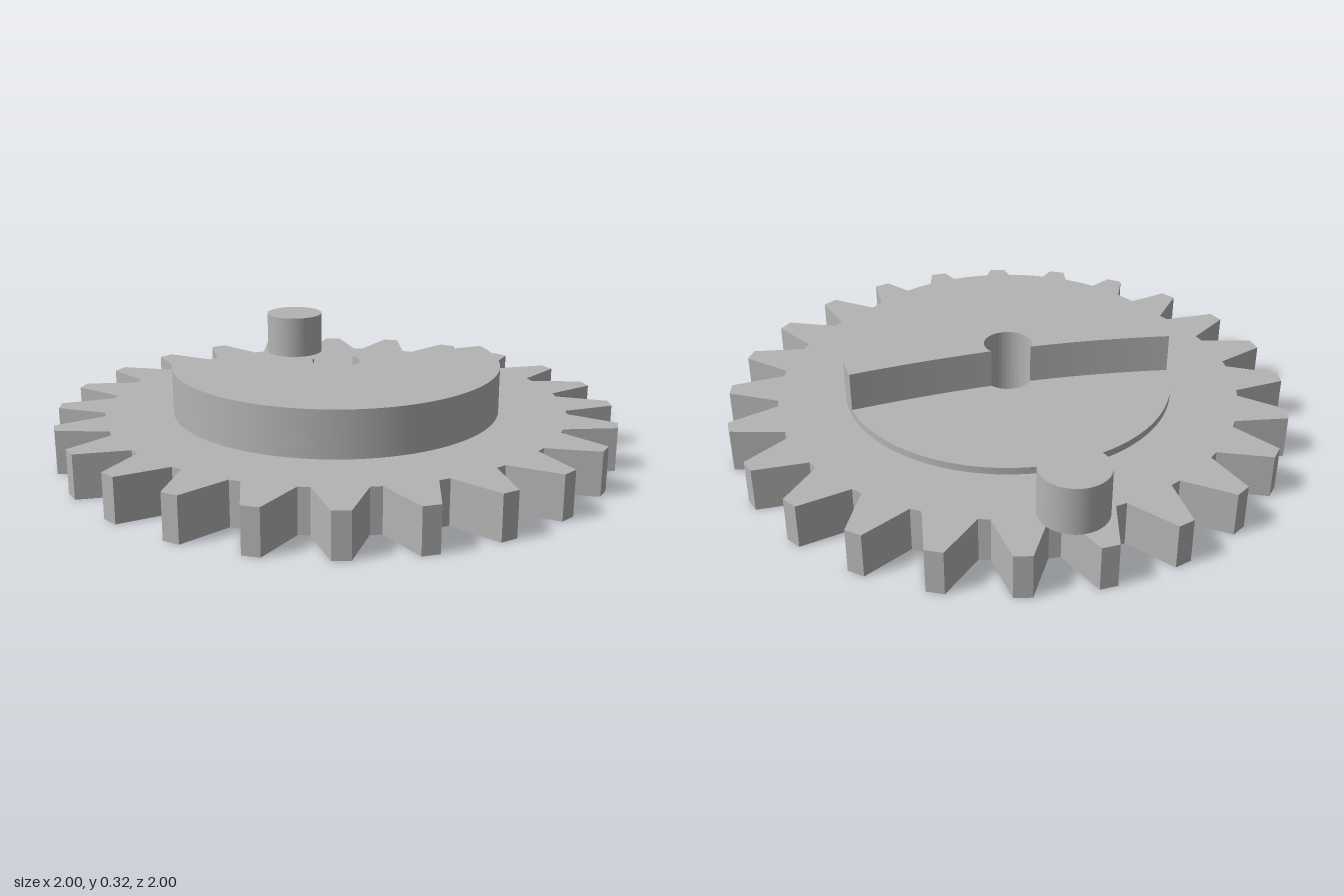
import * as THREE from 'three';
import { toCreasedNormals } from 'three/addons/utils/BufferGeometryUtils.js';

const steel = new THREE.MeshStandardMaterial({ color: 0xb4b4b4 });
steel.name = 'grey';

const TEETH = 24, TIP_R = 1, ROOT_R = 0.825, HUB_R = 0.585, BORE_R = 0.085;
const GEAR_TOP = 0.155, DISC_TOP = 0.18, TOP = 0.32;
const rad = THREE.MathUtils.degToRad;

// Extrudes a plan shape (shape y = -z) upright between two heights.
function slab(name, shape, y0, y1) {
  let geo = new THREE.ExtrudeGeometry(shape, { depth: y1 - y0, bevelEnabled: false, curveSegments: 64 });
  geo.rotateX(-Math.PI / 2);
  geo.translate(0, y0, 0);
  geo = toCreasedNormals(geo, 0.4);
  const mesh = new THREE.Mesh(geo, steel);
  mesh.name = name;
  return mesh;
}

function addBore(shape) {
  shape.holes.push(new THREE.Path().absarc(0, 0, BORE_R, 0, Math.PI * 2, true));
  return shape;
}

// Toothed outline: two root corners and two tip corners per tooth
function gearShape() {
  const pts = [];
  for (let i = 0; i < TEETH; i++) {
    const mid = -2.6 + (i * 360) / TEETH;
    for (const [r, off] of [[ROOT_R, -6.15], [TIP_R, -1.7], [TIP_R, 1.7], [ROOT_R, 6.15]]) {
      const a = rad(mid + off);
      pts.push(new THREE.Vector2(r * Math.cos(a), r * Math.sin(a)));
    }
  }
  return addBore(new THREE.Shape(pts));
}

// Half disc whose inner edge is gently bowed and notched by the bore
function camShape() {
  const a0 = rad(135), a1 = rad(333), h0 = rad(-3), h1 = rad(111);
  const s = new THREE.Shape();
  s.absarc(0, 0, HUB_R, a0, a1, false);
  s.quadraticCurveTo(0.295, -0.146, BORE_R * Math.cos(h0), BORE_R * Math.sin(h0));
  s.absarc(0, 0, BORE_R, h0, h1, true);
  s.quadraticCurveTo(-0.23, 0.229, HUB_R * Math.cos(a0), HUB_R * Math.sin(a0));
  return s;
}

export function createModel() {
  const group = new THREE.Group();
  group.name = 'camGear';

  group.add(slab('gearWheel', gearShape(), 0, GEAR_TOP));
  const disc = addBore(new THREE.Shape().absarc(0, 0, HUB_R, 0, Math.PI * 2, false));
  group.add(slab('hubDisc', disc, GEAR_TOP, DISC_TOP));
  group.add(slab('raisedCam', camShape(), DISC_TOP, TOP));

  // Drive peg near the rim
  const peg = new THREE.Mesh(new THREE.CylinderGeometry(0.115, 0.115, TOP - GEAR_TOP, 64), steel);
  peg.name = 'peg';
  peg.position.set(0.473, (TOP + GEAR_TOP) / 2, -0.655);
  group.add(peg);

  return group;
}
